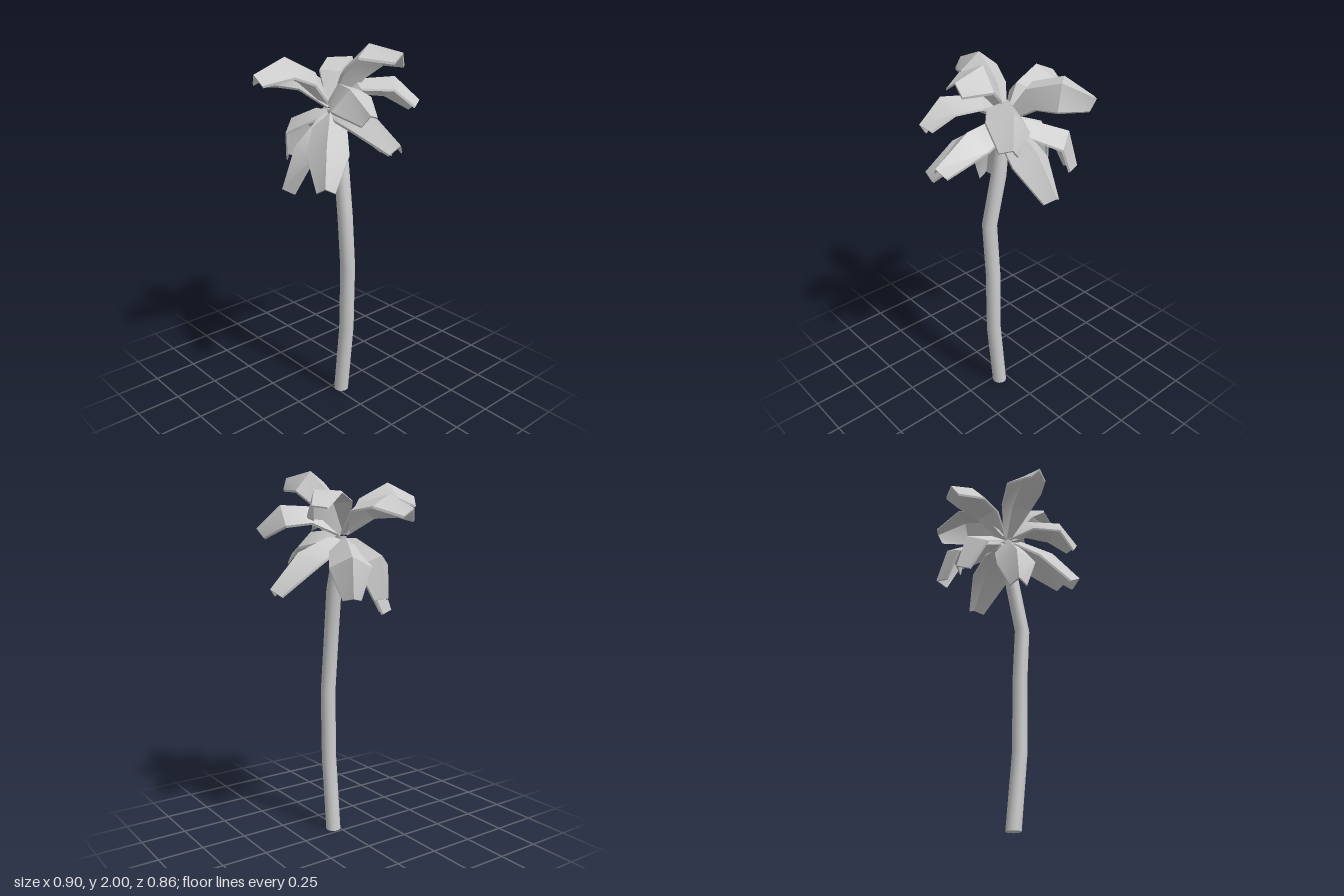
import * as THREE from 'three';
import { toCreasedNormals } from 'three/addons/utils/BufferGeometryUtils.js';

const material = new THREE.MeshStandardMaterial({ color: 0xcccccc });
const V = (x, y, z) => new THREE.Vector3(x, y, z);
const UP = V(0, 1, 0);

// Skins a list of equal-sized closed rings and caps both ends
function loft(rings, crease) {
  const n = rings[0].length, last = (rings.length - 1) * n, index = [];
  for (let r = 0; r < rings.length - 1; r++) {
    for (let i = 0; i < n; i++) {
      const a = r * n + i, b = r * n + (i + 1) % n;
      index.push(a, b, b + n, a, b + n, a + n);
    }
  }
  for (let k = 1; k < n - 1; k++) {
    const i = (1 + k) % n, j = (2 + k) % n;
    index.push(1, j, i, last + 1, last + i, last + j);
  }
  const geometry = new THREE.BufferGeometry().setFromPoints(rings.flat());
  geometry.setIndex(index);
  return toCreasedNormals(geometry, crease);
}

// Bent trunk with level rings
function createTrunk() {
  const path = [
    [0.05, 0, -0.031], [0.092, 0.42, -0.031], [0.096, 0.8, -0.033],
    [0.098, 1.1, -0.01], [0.047, 1.38, -0.025], [-0.005, 1.66, -0.015],
  ];
  const sides = 14;
  const rings = path.map(([x, y, z], k) => Array.from({ length: sides }, (_, i) => {
    const a = (i / sides) * Math.PI * 2, r = k === 5 ? 0.03 : 0.041;
    return V(x + r * Math.cos(a), y, z - r * Math.sin(a));
  }));
  const trunk = new THREE.Mesh(loft(rings, 0.8), material);
  trunk.name = 'trunk';
  return trunk;
}

// Thin frond folded along its midrib: narrow root, raised shoulder, wide bend, blunt tip
function createFrond({ base, lift, mid, tip, roll = 0 }) {
  const b = V(...base), m = V(...mid), e = V(...tip);
  const shoulder = b.clone().lerp(m, 0.36).addScaledVector(UP, lift);
  const spine = [b, shoulder, m, e];
  const half = [0.022, 0.088, 0.108, 0.046];
  const fold = [0.6, 0.75, 0.78, 1.15];
  const thick = 0.012;
  const side = UP.clone().cross(e.clone().sub(b)).normalize();
  const dir = (i) => spine[i + 1].clone().sub(spine[i]).normalize();
  const rings = spine.map((p, i) => {
    const t = i === 0 ? dir(0) : i === 3 ? dir(2) : dir(i - 1).add(dir(i)).normalize();
    const s = side.clone().addScaledVector(t, -side.dot(t)).normalize().applyAxisAngle(t, roll);
    const n = t.clone().cross(s);
    const w = half[i], drop = -fold[i] * w;
    const at = (u, v) => p.clone().addScaledVector(s, u).addScaledVector(n, v);
    return [at(w, drop), at(0, 0), at(-w, drop),
      at(-w, drop - thick), at(0, -thick), at(w, drop - thick)];
  });
  return new THREE.Mesh(loft(rings, 0.5), material);
}

export function createModel() {
  const tree = new THREE.Group();
  tree.name = 'palmTree';
  tree.add(createTrunk());

  // Raised crown: bend point, tip and twist of each midrib
  const upper = [
    { mid: [0.17, 1.82, -0.28], tip: [0.26, 1.70, -0.375], roll: -0.3 },
    { mid: [0.185, 2.0, -0.08], tip: [0.375, 1.97, -0.12], roll: -0.25 },
    { mid: [0.28, 1.815, 0.13], tip: [0.415, 1.71, 0.122], roll: 0.25 },
    { mid: [-0.06, 1.94, 0.25], tip: [-0.075, 1.87, 0.425] },
    { mid: [-0.138, 1.89, -0.268], tip: [-0.275, 1.81, -0.37], roll: 0.6 },
    { mid: [-0.295, 1.87, 0.075], tip: [-0.45, 1.8, 0.108], roll: -0.2 },
  ];
  // Drooping fronds below
  const lower = [
    { mid: [0.25, 1.68, -0.04], tip: [0.452, 1.55, -0.045] },
    { mid: [0.178, 1.54, 0.185], tip: [0.285, 1.36, 0.288] },
    { mid: [-0.07, 1.48, 0.19], tip: [-0.1, 1.26, 0.255], roll: 0.2 },
    { mid: [-0.3, 1.57, 0.03], tip: [-0.355, 1.36, 0.03] },
    { mid: [-0.315, 1.57, -0.162], tip: [-0.362, 1.37, -0.188] },
    { mid: [0.012, 1.58, -0.27], tip: [0.025, 1.4, -0.43] },
  ];
  const addTier = (name, base, lift, fronds) => {
    const tier = new THREE.Group();
    tier.name = name;
    fronds.forEach((f, i) => {
      const frond = createFrond({ base, lift, ...f });
      frond.name = `${name}${i + 1}`;
      tier.add(frond);
    });
    tree.add(tier);
  };
  addTier('upperFrond', [-0.01, 1.68, -0.01], 0.08, upper);
  addTier('lowerFrond', [-0.015, 1.65, -0.01], 0.03, lower);
  return tree;
}
